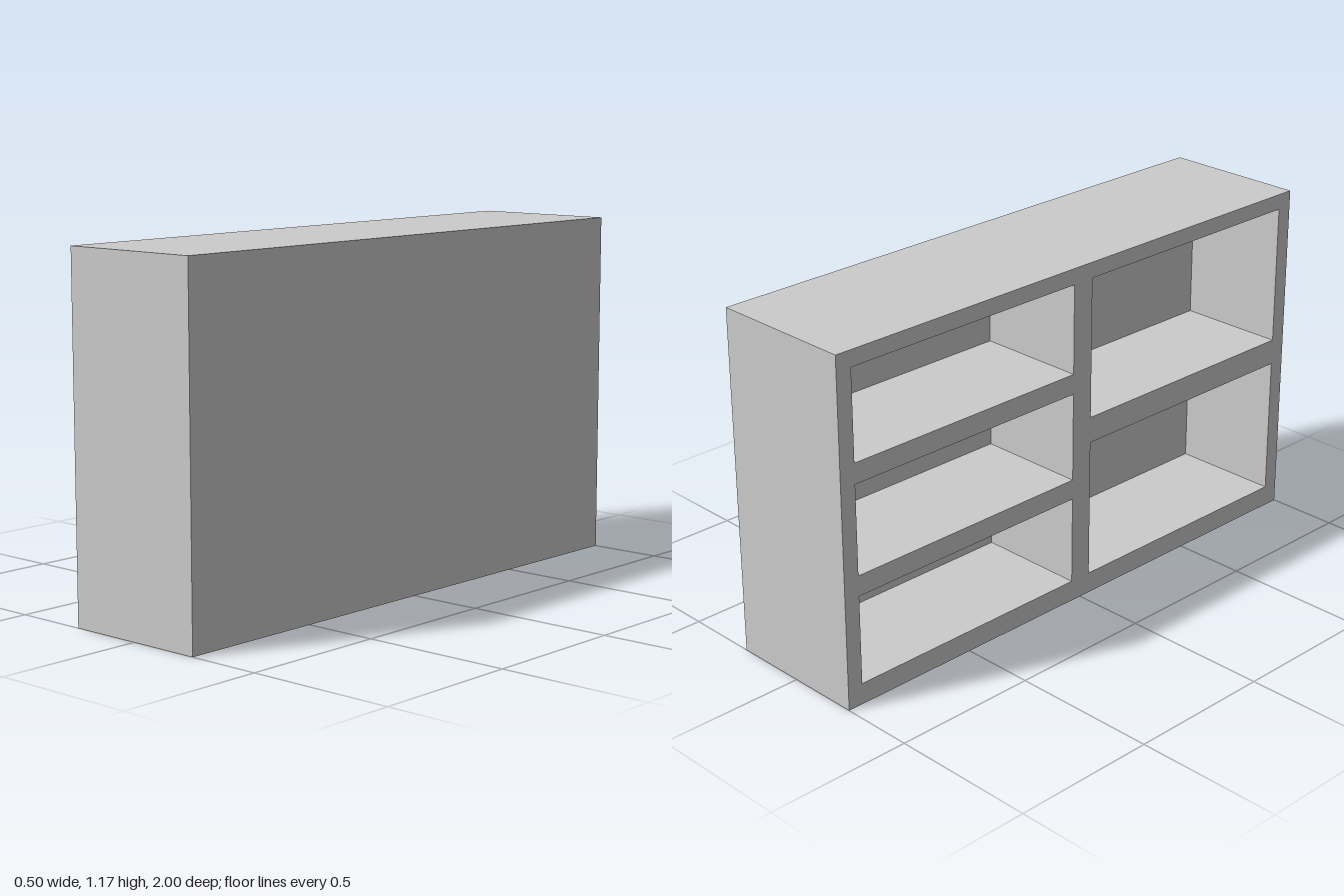
import * as THREE from 'three';

const LENGTH = 2, HEIGHT = 1.17, WIDTH = 0.5, BACK = 0.12;

// Rectangle in the (z, y) plane, used for the outline and the openings
function rect(PathType, z0, z1, y0, y1) {
  const p = new PathType();
  p.moveTo(z0, y0);
  p.lineTo(z1, y0);
  p.lineTo(z1, y1);
  p.lineTo(z0, y1);
  p.closePath();
  return p;
}

export function createModel() {
  const model = new THREE.Group();
  model.name = 'shelfUnit';
  const material = new THREE.MeshStandardMaterial({ color: 0xcccccc, flatShading: true });

  // Columns of equal compartments, open towards -x
  const columns = [
    { z0: -0.945, z1: -0.04, count: 3, height: 0.302, pitch: 0.371 },
    { z0: 0.04, z1: 0.945, count: 2, height: 0.478, pitch: 0.567 },
  ];
  const outline = rect(THREE.Shape, -LENGTH / 2, LENGTH / 2, 0, HEIGHT);
  for (const { z0, z1, count, height, pitch } of columns) {
    for (let i = 0; i < count; i++) {
      const y0 = 0.072 + i * pitch;
      outline.holes.push(rect(THREE.Path, z0, z1, y0, y0 + height));
    }
  }

  // Frame with its shelves and divider, extruded towards -x
  const frameGeometry = new THREE.ExtrudeGeometry(outline, { depth: WIDTH - BACK, bevelEnabled: false });
  frameGeometry.rotateY(-Math.PI / 2);
  frameGeometry.translate(WIDTH / 2 - BACK, 0, 0);
  const frame = new THREE.Mesh(frameGeometry, material);
  frame.name = 'shelfFrame';

  // Thick panel closing the compartments
  const panel = new THREE.Mesh(new THREE.BoxGeometry(BACK, HEIGHT, LENGTH), material);
  panel.name = 'backPanel';
  panel.position.set((WIDTH - BACK) / 2, HEIGHT / 2, 0);

  model.add(frame, panel);
  return model;
}
